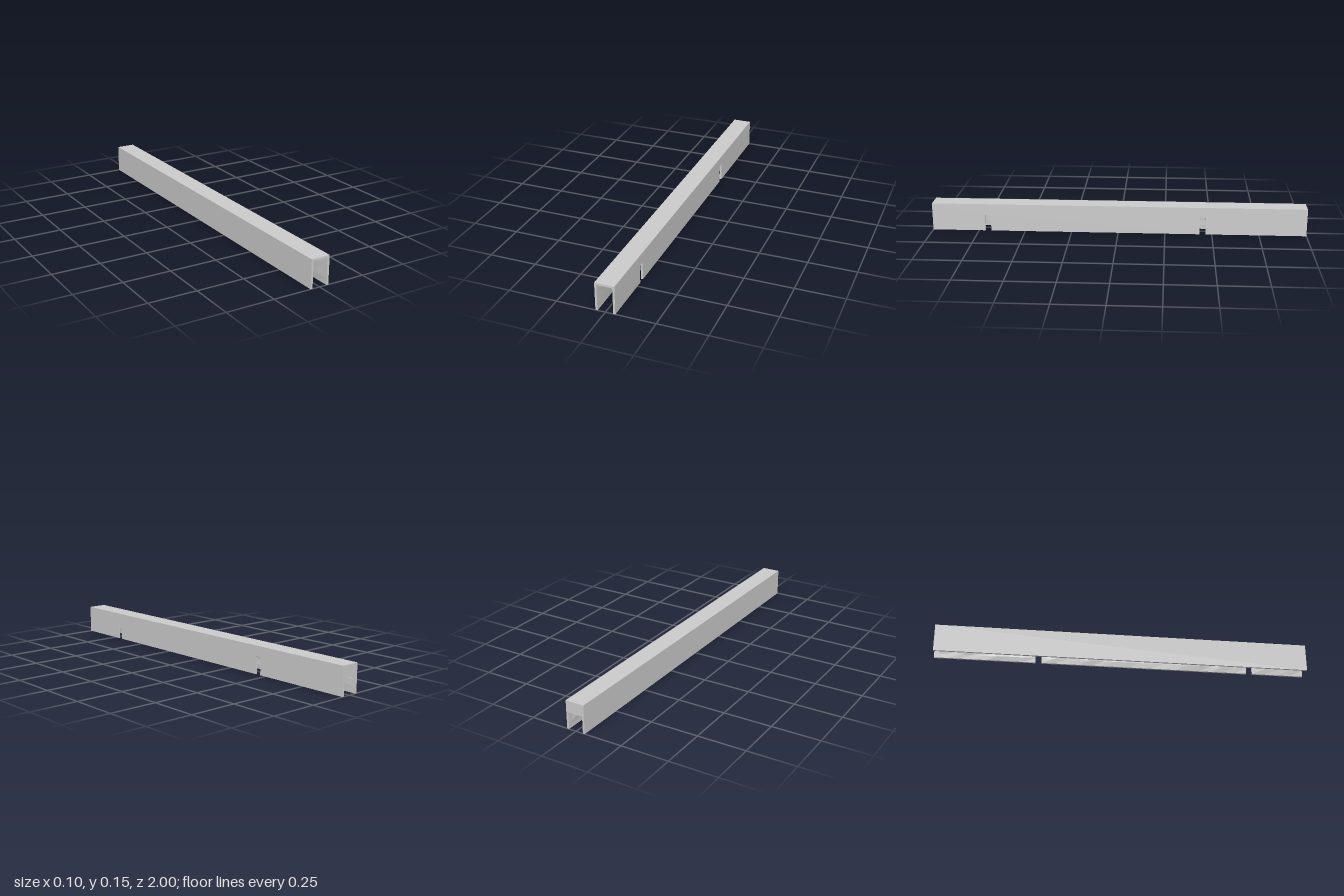
import * as THREE from 'three';

const W = 0.05, H = 0.148, T = 0.0105;       // half width, height, wall thickness
const IN = W - T;                            // inner half width
const SLOTS = [0.7, -0.45], SLOT_HALF = 0.016, SLOT_TOP = 0.095;
const ceilingY = (z) => 0.1125 + 0.025 * z;  // ceiling slopes down to the back

const material = new THREE.MeshStandardMaterial({ color: 0xcccccc, flatShading: true });
const roughMaterial = new THREE.MeshStandardMaterial({
  color: 0xcccccc, flatShading: true, side: THREE.DoubleSide,
});

let seed = 7;
function random() {
  seed = (seed * 16807) % 2147483647;
  return seed / 2147483647;
}

// Extrudes a side profile, drawn with shape x = -z, from x0 to x1
function slab(name, shape, x0, x1) {
  const geometry = new THREE.ExtrudeGeometry(shape, { depth: x1 - x0, bevelEnabled: false, curveSegments: 4 });
  geometry.rotateY(Math.PI / 2).translate(x0, 0, 0);
  const mesh = new THREE.Mesh(geometry, material);
  mesh.name = name;
  return mesh;
}

function wallShape(slots) {
  const s = new THREE.Shape();
  const r = 0.006;
  s.moveTo(-1, 0);
  for (const z of slots) {
    const a = -z - SLOT_HALF, b = -z + SLOT_HALF;
    s.lineTo(a, 0);
    s.lineTo(a, SLOT_TOP - r);
    s.quadraticCurveTo(a, SLOT_TOP, a + r, SLOT_TOP);
    s.lineTo(b - r, SLOT_TOP);
    s.quadraticCurveTo(b, SLOT_TOP, b, SLOT_TOP - r);
    s.lineTo(b, 0);
  }
  s.lineTo(1, 0);
  s.lineTo(1, H);
  s.lineTo(-1, H);
  s.closePath();
  return s;
}

// Uneven sheet: place(z, v) gives the flat surface, bumps go along inward, edges stay put
function roughSheet(name, z0, z1, place, inward) {
  const nz = Math.max(2, Math.round((z1 - z0) / 0.065)), nv = 4;
  const geometry = new THREE.PlaneGeometry(1, 1, nz, nv);
  const position = geometry.attributes.position;
  for (let i = 0; i < position.count; i++) {
    const u = position.getX(i) + 0.5, v = position.getY(i) + 0.5;
    const edge = u < 0.001 || u > 0.999 || v < 0.001 || v > 0.999;
    const p = place(z0 + (z1 - z0) * u, v);
    p.addScaledVector(inward, edge ? 0 : random() * 0.0045);
    position.setXYZ(i, p.x, p.y, p.z);
  }
  geometry.computeVertexNormals();
  const mesh = new THREE.Mesh(geometry, roughMaterial);
  mesh.name = name;
  return mesh;
}

export function createModel() {
  const model = new THREE.Group();
  model.name = 'channel';

  // Side walls, slots on the left one only
  model.add(slab('leftWall', wallShape(SLOTS), IN, W));
  model.add(slab('rightWall', wallShape([]), -W, -IN));

  // Roof, thicker towards the back
  const roof = new THREE.Shape();
  roof.moveTo(-1, ceilingY(1));
  roof.lineTo(1, ceilingY(-1));
  roof.lineTo(1, H);
  roof.lineTo(-1, H);
  roof.closePath();
  model.add(slab('roof', roof, -IN, IN));

  // Uneven inner faces
  model.add(roughSheet('ceilingLining', -1, 1,
    (z, v) => new THREE.Vector3((v - 0.5) * 2 * IN, ceilingY(z), z), new THREE.Vector3(0, -1, 0)));
  const wallLining = (name, side, z0, z1) => model.add(roughSheet(name, z0, z1,
    (z, v) => new THREE.Vector3(side * IN, v * ceilingY(z), z), new THREE.Vector3(-side, 0, 0)));
  wallLining('rightLining', -1, -1, 1);
  let end = 1;
  for (const z of SLOTS) {
    wallLining('leftLining', 1, z + SLOT_HALF, end);
    end = z - SLOT_HALF;
  }
  wallLining('leftLining', 1, -1, end);

  return model;
}
